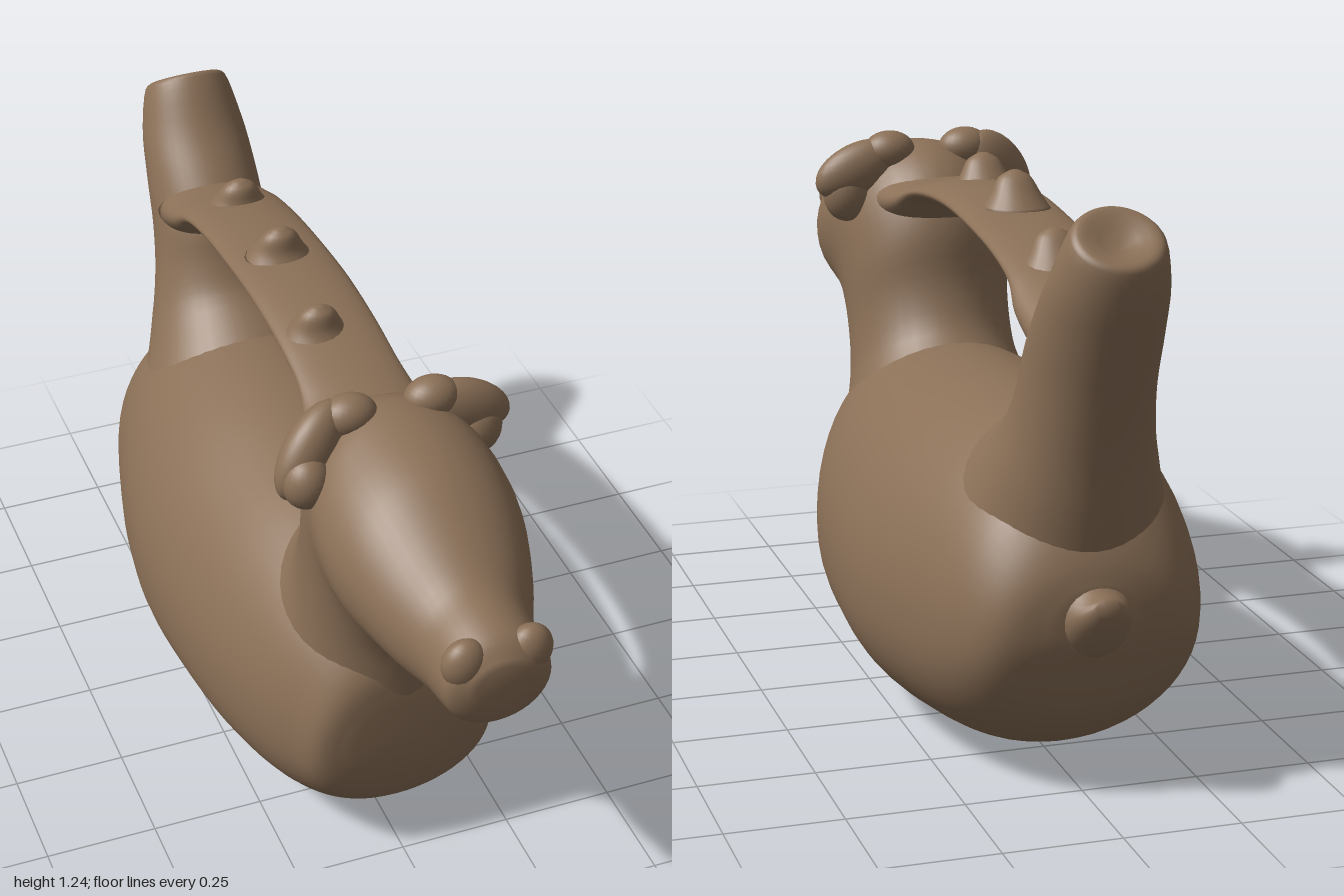
import * as THREE from 'three';

const clay = new THREE.MeshStandardMaterial({ color: 0x8b7057 });
clay.name = 'brown clay';

// Smooth closed skin over rings; each ring is [z1, y1, z2, y2, halfWidth]: two
// opposite points in the mirror plane and the half width across it.
// k places the widest point between point 2 and point 1; e < 1 squares off side 2.
function loft(name, rings, { k = 0.5, e = 1, steps = 4, sides = 40, x = 0, dent = 0 } = {}) {
  const ends1 = new THREE.CatmullRomCurve3(rings.map(r => new THREE.Vector3(0, r[1], r[0])));
  const ends2 = new THREE.CatmullRomCurve3(rings.map(r => new THREE.Vector3(r[4], r[3], r[2])));
  const n = (rings.length - 1) * steps, pos = [], idx = [];
  for (let i = 0; i <= n; i++) {
    const p = ends1.getPoint(i / n), q = ends2.getPoint(i / n), w = q.x;
    q.x = 0;
    const mid = q.clone().lerp(p, k);
    for (let j = 0; j < sides; j++) {
      const a = j / sides * Math.PI * 2, c = Math.cos(a);
      const v = mid.clone().lerp(c > 0 ? p : q, c > 0 ? c : Math.pow(-c, e));
      pos.push(x + w * Math.sin(a), v.y, v.z);
    }
  }
  for (let i = 0; i < n; i++) for (let j = 0; j < sides; j++) {
    const a = i * sides + j, b = i * sides + (j + 1) % sides;
    idx.push(a, b, a + sides, b, b + sides, a + sides);
  }
  // End caps
  const cap = (r, row, flip, drop) => {
    const c = pos.length / 3;
    pos.push(x, (r[1] + r[3]) / 2 - drop, (r[0] + r[2]) / 2);
    for (let j = 0; j < sides; j++) {
      const a = row * sides + j, b = row * sides + (j + 1) % sides;
      idx.push(c, flip ? b : a, flip ? a : b);
    }
  };
  cap(rings[0], 0, true, 0);
  cap(rings[rings.length - 1], n, false, dent);
  // Turn the faces outward
  const P = i => new THREE.Vector3().fromArray(pos, i * 3);
  let volume = 0;
  for (let i = 0; i < idx.length; i += 3) volume += P(idx[i]).dot(P(idx[i + 1]).cross(P(idx[i + 2])));
  if (volume < 0) idx.reverse();
  const g = new THREE.BufferGeometry();
  g.setAttribute('position', new THREE.Float32BufferAttribute(pos, 3));
  g.setIndex(idx);
  g.computeVertexNormals();
  const m = new THREE.Mesh(g, clay);
  m.name = name;
  return m;
}

function blob(name, p, r, rot = [0, 0, 0]) {
  const m = new THREE.Mesh(new THREE.SphereGeometry(1, 24, 16), clay);
  m.name = name;
  m.position.set(...p);
  m.scale.set(...r);
  m.rotation.set(...rot);
  return m;
}

export function createModel() {
  const model = new THREE.Group();
  model.name = 'animalVessel';

  // Egg-shaped body
  model.add(loft('body', [
    [0.51, 0.44, 0.505, 0.26, 0.12],
    [0.50, 0.55, 0.475, 0.15, 0.2],
    [0.44, 0.64, 0.40, 0.08, 0.24],
    [0.33, 0.70, 0.30, 0.04, 0.285],
    [0.15, 0.73, 0.15, 0.02, 0.328],
    [-0.05, 0.742, -0.05, 0.008, 0.353],
    [-0.25, 0.75, -0.25, 0.0, 0.36],
    [-0.45, 0.745, -0.43, 0.015, 0.338],
    [-0.60, 0.73, -0.57, 0.04, 0.305],
    [-0.72, 0.68, -0.69, 0.10, 0.27],
    [-0.79, 0.60, -0.77, 0.18, 0.23],
    [-0.83, 0.52, -0.815, 0.27, 0.175],
    [-0.845, 0.46, -0.84, 0.34, 0.08],
  ], { k: 0.43, e: 0.88, sides: 56 }));

  // Neck bending forward into the head and muzzle
  model.add(loft('neckAndHead', [
    [0.03, 0.66, 0.50, 0.38, 0.23],
    [0.155, 0.75, 0.515, 0.50, 0.195],
    [0.203, 0.85, 0.535, 0.60, 0.187],
    [0.22, 0.98, 0.57, 0.66, 0.19],
    [0.27, 1.08, 0.61, 0.70, 0.198],
    [0.37, 1.145, 0.64, 0.715, 0.21],
    [0.48, 1.14, 0.67, 0.725, 0.21],
    [0.60, 1.115, 0.72, 0.73, 0.193],
    [0.72, 1.055, 0.79, 0.735, 0.162],
    [0.82, 1.005, 0.87, 0.745, 0.125],
    [0.90, 0.99, 0.93, 0.75, 0.115],
    [0.955, 0.97, 0.965, 0.775, 0.11],
    [0.99, 0.93, 0.985, 0.83, 0.06],
  ]));

  // Ears, hand-shaped and uneven
  model.add(
    blob('leftEar', [0.165, 1.095, 0.38], [0.105, 0.06, 0.042], [0, 0, -0.4]),
    blob('leftEarLobe', [0.19, 1.04, 0.385], [0.055, 0.065, 0.045]),
    blob('rightEar', [-0.175, 1.075, 0.39], [0.115, 0.068, 0.05], [0, 0.4, 0.85]),
    blob('rightEarLobe', [-0.2, 1.03, 0.43], [0.052, 0.06, 0.05]));
  for (const s of [-1, 1]) {
    model.add(blob('browBump', [s * 0.09, 1.135, 0.38], [0.06, 0.045, 0.045]));
    model.add(blob('nostrilRim', [s * 0.068, 0.925, 0.945], [0.048, 0.055, 0.035]));
  }

  // Spout with a small hollow in its mouth
  model.add(loft('spout', [
    [-0.35, 0.66, -0.79, 0.40, 0.25],
    [-0.48, 0.745, -0.815, 0.50, 0.20],
    [-0.575, 0.81, -0.84, 0.61, 0.165],
    [-0.615, 0.88, -0.867, 0.73, 0.143],
    [-0.64, 0.96, -0.905, 0.85, 0.133],
    [-0.70, 1.04, -0.95, 0.97, 0.128],
    [-0.78, 1.13, -0.985, 1.07, 0.118],
    [-0.855, 1.235, -0.998, 1.135, 0.095],
    [-0.868, 1.24, -0.992, 1.15, 0.08],
    [-0.90, 1.205, -0.96, 1.165, 0.04],
  ], { dent: 0.02 }));

  // Flat strap handle arching from head to spout
  model.add(loft('handle', [
    [0.36, 1.10, 0.34, 0.95, 0.15],
    [0.27, 1.085, 0.23, 1.0, 0.13],
    [0.18, 1.10, 0.17, 1.045, 0.115],
    [0.05, 1.125, 0.05, 1.068, 0.112],
    [-0.12, 1.135, -0.12, 1.078, 0.112],
    [-0.30, 1.12, -0.30, 1.068, 0.112],
    [-0.46, 1.10, -0.45, 1.045, 0.112],
    [-0.59, 1.07, -0.565, 1.01, 0.115],
    [-0.67, 1.045, -0.63, 0.95, 0.125],
    [-0.78, 1.02, -0.74, 0.88, 0.12],
  ], { x: -0.008 }));

  // Row of pinched knobs on the handle
  for (const [x, y, z] of [[-0.035, 1.18, 0.05], [-0.015, 1.195, -0.24], [0, 1.135, -0.55]]) {
    model.add(loft('handleKnob', [
      [z + 0.06, y - 0.08, z - 0.075, y - 0.08, 0.075],
      [z + 0.04, y - 0.05, z - 0.05, y - 0.05, 0.055],
      [z + 0.03, y - 0.015, z - 0.022, y - 0.015, 0.035],
      [z + 0.012, y, z - 0.005, y - 0.002, 0.012],
    ], { x, sides: 20 }));
  }

  // Short upturned tail
  model.add(loft('tail', [
    [-0.78, 0.50, -0.80, 0.29, 0.09],
    [-0.83, 0.475, -0.845, 0.33, 0.075],
    [-0.865, 0.457, -0.885, 0.39, 0.05],
    [-0.89, 0.46, -0.90, 0.43, 0.022],
  ], { sides: 24 }));

  return model;
}
